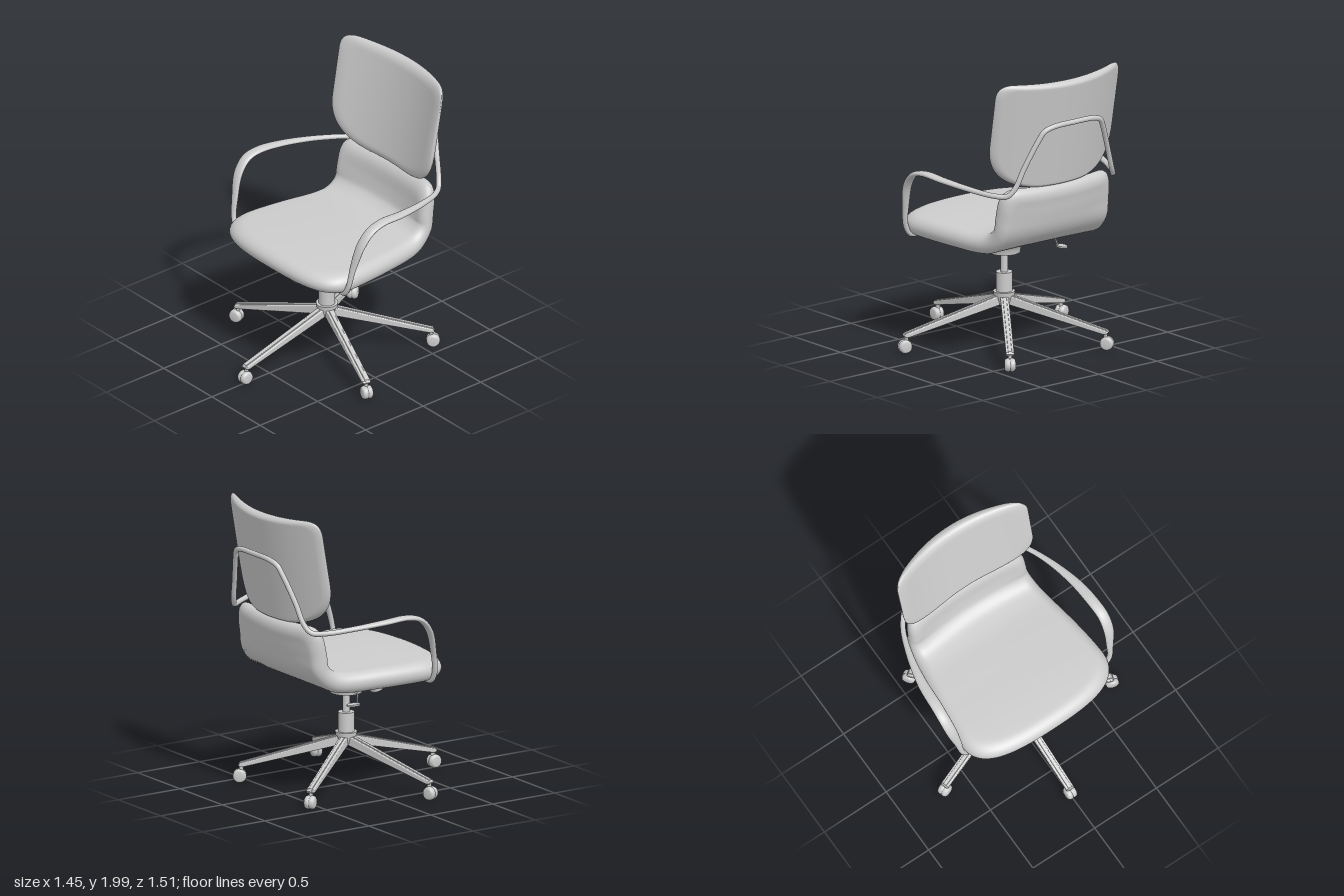
import * as THREE from 'three';
import { mergeVertices } from 'three/addons/utils/BufferGeometryUtils.js';

const grey = new THREE.MeshStandardMaterial({ color: 0xcccccc });
grey.name = 'light grey';

const v3 = (x, y, z) => new THREE.Vector3(x, y, z);

function add(parent, name, geometry, x = 0, y = 0, z = 0) {
  const mesh = new THREE.Mesh(geometry, grey);
  mesh.name = name;
  mesh.position.set(x, y, z);
  parent.add(mesh);
  return mesh;
}

// Mirrors a half path that runs from (0, 0) up the right side to (0, top)
function mirroredOutline(half, n = 56) {
  const right = half.getSpacedPoints(n);
  const left = right.slice(1, -1).reverse().map(p => new THREE.Vector2(-p.x, p.y));
  return [...right, ...left];
}

// Closed body: the outline scaled about its centre for each [scale, depth] ring, then mapped to space
function loft(outline, cy, rings, map) {
  const pos = [], index = [], n = outline.length;
  rings.forEach(([s, d], j) => outline.forEach((p, i) => {
    pos.push(...map(p.x * s, cy + (p.y - cy) * s, d));
    if (j === rings.length - 1) return;
    const a = j * n + i, b = j * n + (i + 1) % n;
    index.push(a, b, b + n, a, b + n, a + n);
  }));
  const g = new THREE.BufferGeometry();
  g.setAttribute('position', new THREE.Float32BufferAttribute(pos, 3));
  g.setIndex(index);
  g.computeVertexNormals();
  return g;
}

// Rings of a cushion with half thickness h and a rounded edge
function cushionRings(h, insetBack, insetFront) {
  const rings = [], flat = 22, arc = 8;
  for (let i = 0; i < flat; i++) rings.push([(1 - insetBack) * (i + 0.01) / flat, -h]);
  for (let i = 0; i <= 2 * arc; i++) {
    const a = -Math.PI / 2 + (Math.PI / 2) * i / arc;
    const inset = a < 0 ? insetBack : insetFront;
    rings.push([1 - inset + inset * Math.cos(a), h * Math.sin(a)]);
  }
  for (let i = flat - 1; i >= 0; i--) rings.push([(1 - insetFront) * (i + 0.01) / flat, h]);
  return rings;
}

function addSeat(chair) {
  // Side profile of the seat, from its front edge to the top of the lumbar part
  const path = new THREE.CatmullRomCurve3([
    [0.855, 0.52], [0.862, 0.25], [0.855, -0.05], [0.85, -0.3], [0.872, -0.43],
    [0.94, -0.52], [1.05, -0.556], [1.15, -0.572], [1.24, -0.595],
  ].map(([y, z]) => v3(0, y, z)), false, 'centripetal');
  path.arcLengthDivisions = 400;
  const L = path.getLength();
  const half = new THREE.Path();
  half.bezierCurveTo(0.35, 0, 0.585, 0.04, 0.577, 0.27);
  half.bezierCurveTo(0.565, 0.55, 0.5, 0.8, 0.475, 1.02);
  half.lineTo(0.465, L - 0.13);
  half.bezierCurveTo(0.46, L - 0.03, 0.42, L, 0.35, L);
  half.lineTo(0, L);
  const geometry = loft(mirroredOutline(half, 72), L / 2, cushionRings(0.07, 0.12, 0.14), (x, s, d) => {
    const u = THREE.MathUtils.clamp(s / L, 0, 1);
    const c = path.getPointAt(u), t = path.getTangentAt(u);
    const back = THREE.MathUtils.smoothstep(s, 0.85, 1.2);
    const e = d * (1 - 0.12 * back) + x * x * (0.25 * back - 0.06 * (1 - back));
    return [x, c.y - t.z * e, c.z + t.y * e];
  });
  add(chair, 'seat', geometry);

  // Shallow shell under the seat
  const pan = new THREE.Path();
  pan.moveTo(0, -0.42);
  pan.bezierCurveTo(0.3, -0.42, 0.49, -0.38, 0.49, -0.2);
  pan.lineTo(0.42, 0.28);
  pan.bezierCurveTo(0.41, 0.38, 0.35, 0.4, 0.25, 0.4);
  pan.lineTo(0, 0.4);
  add(chair, 'seatPan', loft(mirroredOutline(pan), 0,
    [[0.001, 0.718], [0.28, 0.718], [0.5, 0.737], [0.75, 0.763], [1, 0.79], [0.98, 0.81], [0.001, 0.81]],
    (x, s, d) => [x, d, -s]));
}

function addBackrest(chair) {
  const H = 0.755;
  const half = new THREE.Path();
  half.lineTo(0.17, 0);
  half.bezierCurveTo(0.4, 0.005, 0.52, 0.1, 0.522, 0.3);
  half.lineTo(0.527, H - 0.11);
  half.bezierCurveTo(0.527, H - 0.03, 0.49, H, 0.41, H);
  half.lineTo(0, H);
  // Curved round the sitter, thinner towards the sides and the top
  const geometry = loft(mirroredOutline(half, 72), H / 2, cushionRings(0.06, 0.08, 0.17), (x, y, d) =>
    [x, y, 0.47 * x * x + d * (1 - 1.7 * x * x) * (1 - 0.3 * y / H)]);
  add(chair, 'backrest', geometry, 0, 1.238, -0.56).rotation.x = -0.185;
}

function addArms(chair) {
  // One bent bar: both armrests joined behind the backrest
  const side = [
    [0.47, 0.785, 0.3], [0.55, 0.785, 0.31], [0.593, 0.85, 0.31], [0.615, 1.0, 0.285], [0.638, 1.16, 0.235],
    [0.645, 1.245, 0.16], [0.64, 1.272, 0.06], [0.625, 1.262, -0.12], [0.575, 1.24, -0.34],
    [0.51, 1.222, -0.51], [0.455, 1.225, -0.59], [0.415, 1.28, -0.625], [0.36, 1.42, -0.655],
    [0.275, 1.61, -0.705], [0.24, 1.665, -0.722], [0.17, 1.69, -0.735],
  ];
  const points = [...side, [0, 1.695, -0.738], ...side.slice().reverse().map(([x, y, z]) => [-x, y, z])];
  const curve = new THREE.CatmullRomCurve3(points.map(p => v3(...p)), false, 'centripetal');
  const n = 320, radial = 14;
  const g = new THREE.TubeGeometry(curve, n, 0.018, radial);
  const p = g.attributes.position;
  // Flatten the bar into a wide strap along the armrests
  for (let j = 0; j <= n; j++) {
    const c = curve.getPointAt(j / n);
    const wide = THREE.MathUtils.smoothstep(c.z, -0.55, 0.05) * THREE.MathUtils.smoothstep(c.y, 0.84, 1.2);
    for (let i = 0; i <= radial; i++) {
      const k = j * (radial + 1) + i;
      p.setX(k, c.x + (p.getX(k) - c.x) * (1 + 1.15 * wide));
    }
  }
  g.deleteAttribute('uv');
  g.deleteAttribute('normal');
  const smooth = mergeVertices(g, 1e-5);
  smooth.computeVertexNormals();
  add(chair, 'armBar', smooth);
  for (const x of [-0.47, 0.47]) add(chair, 'armBarEnd', new THREE.SphereGeometry(0.018, 12, 8), x, 0.785, 0.3);
}

function addMechanism(chair) {
  const lathe = pts => new THREE.LatheGeometry(pts.map(q => new THREE.Vector2(...q)), 40);
  add(chair, 'seatMount', lathe([[0, 0.632], [0.108, 0.632], [0.108, 0.632], [0.113, 0.665],
    [0.13, 0.692], [0.175, 0.722], [0.175, 0.74]]));
  add(chair, 'piston', new THREE.CylinderGeometry(0.025, 0.025, 0.16, 24), 0, 0.56, 0);
  add(chair, 'columnSleeve', new THREE.CylinderGeometry(0.055, 0.055, 0.15, 32), 0, 0.42, 0);
  add(chair, 'baseCollar', new THREE.CylinderGeometry(0.074, 0.07, 0.028, 32), 0, 0.347, 0);
  add(chair, 'baseHub', new THREE.CylinderGeometry(0.066, 0.05, 0.065, 32), 0, 0.305, 0);

  // Tilt tension knob under the front of the seat
  const knob = new THREE.Group();
  knob.name = 'tensionKnob';
  knob.position.set(0, 0.665, 0.23);
  knob.rotation.x = -0.36;
  add(knob, 'knobGrip', lathe([[0, -0.06], [0.042, -0.06], [0.049, -0.053], [0.049, 0.02], [0.043, 0.03], [0, 0.03]]));
  add(knob, 'knobNeck', new THREE.CylinderGeometry(0.028, 0.028, 0.07, 24), 0, 0.055, 0);
  chair.add(knob);

  // Height lever on the right side
  const rod = new THREE.CurvePath();
  const a = v3(-0.08, 0.712, -0.1), b = v3(-0.325, 0.71, -0.13), c = v3(-0.342, 0.648, -0.145);
  rod.add(new THREE.LineCurve3(a, b));
  rod.add(new THREE.LineCurve3(b, c));
  add(chair, 'leverRod', new THREE.TubeGeometry(rod, 40, 0.006, 8));
  const paddle = add(chair, 'leverPaddle', new THREE.CylinderGeometry(0.03, 0.03, 0.012, 24), -0.35, 0.645, -0.18);
  paddle.scale.z = 1.7;
}

function addBase(chair) {
  const beam = (top, width, bevel) => {
    const shape = new THREE.Shape([[0.03, 0.272], [0.69, 0.11], [0.712, 0.11], [0.72, 0.122],
      [0.712, 0.135 + top], [0.03, 0.338 + top]].map(q => new THREE.Vector2(...q)));
    const g = new THREE.ExtrudeGeometry(shape, { depth: width - 2 * bevel, bevelThickness: bevel,
      bevelSize: bevel, bevelOffset: -bevel, bevelSegments: 3 });
    return g.translate(0, 0, bevel - width / 2);
  };
  const leg = beam(0, 0.056, 0.007), rib = beam(0.006, 0.026, 0.003);
  const wheel = new THREE.LatheGeometry([[0, -0.037], [0.03, -0.037], [0.041, -0.031], [0.046, -0.018],
    [0.046, -0.004], [0.041, -0.003], [0.041, 0.003], [0.046, 0.004], [0.046, 0.018], [0.041, 0.031],
    [0.03, 0.037], [0, 0.037]].map(q => new THREE.Vector2(...q)), 32).rotateX(Math.PI / 2);
  for (let i = 0; i < 5; i++) {
    const arm = new THREE.Group();
    arm.name = 'baseLeg';
    arm.rotation.y = -Math.PI / 2 + i * Math.PI * 2 / 5;
    add(arm, 'legBeam', leg);
    add(arm, 'legRib', rib);
    add(arm, 'casterStem', new THREE.CylinderGeometry(0.014, 0.014, 0.06, 16), 0.7, 0.1, 0);
    add(arm, 'casterWheel', wheel, 0.71, 0.047, 0);
    chair.add(arm);
  }
}

export function createModel() {
  const chair = new THREE.Group();
  chair.name = 'officeChair';
  addSeat(chair);
  addBackrest(chair);
  addArms(chair);
  addMechanism(chair);
  addBase(chair);
  return chair;
}
